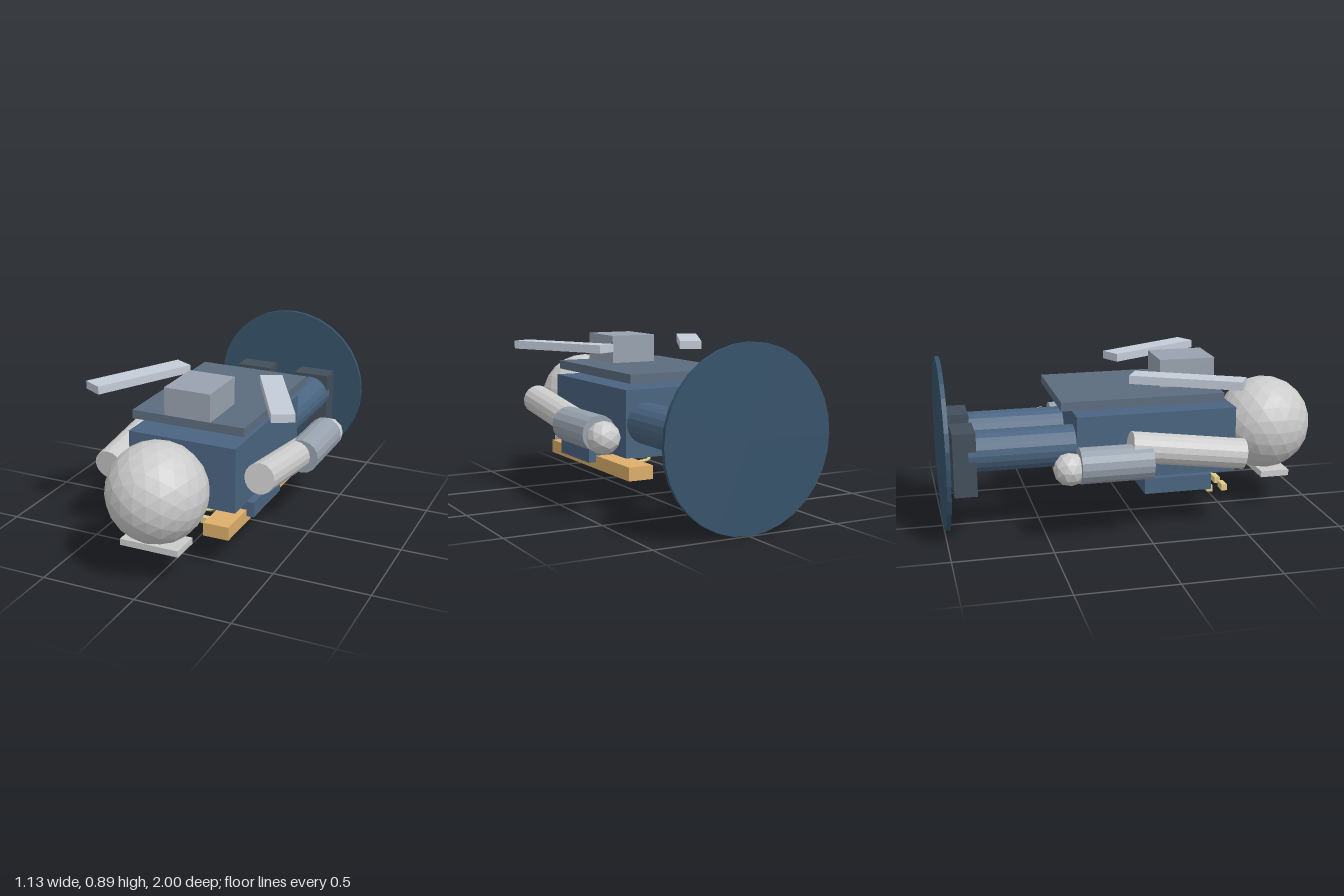
import * as THREE from 'three';

const mat = (color) => new THREE.MeshStandardMaterial({ color, flatShading: true });
const M = {
  grey: mat(0xcccccc), suit: mat(0x4a6480), dark: mat(0x36526a), plate: mat(0x5c6c7e),
  boot: mat(0x424e5a), steel: mat(0x98a2ae), wing: mat(0xc4ccd8), tan: mat(0xdcae6a), gold: mat(0xe0cc88),
};

export function createModel() {
  const root = new THREE.Group();
  const add = (name, geo, m, x, y, z) => {
    const mesh = new THREE.Mesh(geo, m);
    mesh.name = name;
    mesh.position.set(x, y, z);
    root.add(mesh);
    return mesh;
  };
  // Box given by its limits along each axis
  const box = (name, m, [x0, x1], [y0, y1], [z0, z1]) =>
    add(name, new THREE.BoxGeometry(x1 - x0, y1 - y0, z1 - z0), m, (x0 + x1) / 2, (y0 + y1) / 2, (z0 + z1) / 2);
  // Cylinder lying along z
  const rod = (name, m, r, x, y, z0, z1, sides = 16) =>
    add(name, new THREE.CylinderGeometry(r, r, z1 - z0, sides).rotateX(Math.PI / 2), m, x, y, (z0 + z1) / 2);

  // Body, lying face down with the head to the front
  box('torso', M.suit, [-0.29, 0.29], [0.28, 0.62], [-0.34, 0.49]);
  box('backPlate', M.plate, [-0.305, 0.305], [0.66, 0.705], [-0.42, 0.42]);
  box('backpack', M.steel, [-0.125, 0.125], [0.705, 0.85], [0.13, 0.42]);
  box('chestPlate', M.suit, [-0.33, 0.33], [0.205, 0.285], [0, 0.35]);
  box('sash', M.tan, [0.155, 0.29], [0.17, 0.24], [-0.37, 0.57]);

  // Head
  rod('neck', M.steel, 0.082, 0, 0.45, 0.47, 0.56);
  add('head', new THREE.IcosahedronGeometry(0.25, 3), M.grey, 0, 0.45, 0.745);
  box('visor', M.grey, [-0.155, 0.155], [0.182, 0.215], [0.69, 0.845]);

  // Chest ornaments
  const ring = add('chestRing', new THREE.TorusGeometry(0.115, 0.008, 8, 32), M.gold, 0, 0.17, 0.195);
  ring.rotation.x = Math.PI / 2;
  for (const [x, z] of [[-0.245, 0.36], [-0.125, 0.36], [-0.245, 0.44], [-0.125, 0.44], [0, 0.44], [0.12, 0.44]])
    add('badge', new THREE.BoxGeometry(0.07, 0.033, 0.03), M.gold, x, 0.188, z);

  // Paired parts
  for (const s of [1, -1]) {
    const side = s > 0 ? 'left' : 'right';
    // Upper limbs tilt in opposite directions
    const arm = rod(side + 'UpperArm', M.grey, 0.078, s * 0.414, 0.45, -0.1, 0.49);
    arm.rotation.x = -s * 0.134;
    rod(side + 'Forearm', M.steel, 0.09, s * 0.445, 0.42, -0.36, 0);
    add(side + 'Hand', new THREE.IcosahedronGeometry(0.083, 1), M.grey, s * 0.445, 0.406, -0.406);
    rod(side + 'Leg', M.suit, 0.104, s * 0.18, 0.45, -0.88, -0.3, 20);
    box(side + 'Boot', M.boot, [s * 0.18 - 0.1, s * 0.18 + 0.1], [0.245, 0.57], [-0.955, -0.84]);
    const wing = add(side + 'Wing', new THREE.BoxGeometry(0.115, 0.042, 0.565), M.wing, s * 0.382, 0.8, 0.2);
    wing.rotation.y = s * 0.49;
  }

  // Upright disc at the feet
  rod('baseDisc', M.dark, 0.445, 0, 0.447, -1, -0.978, 32);
  return root;
}
